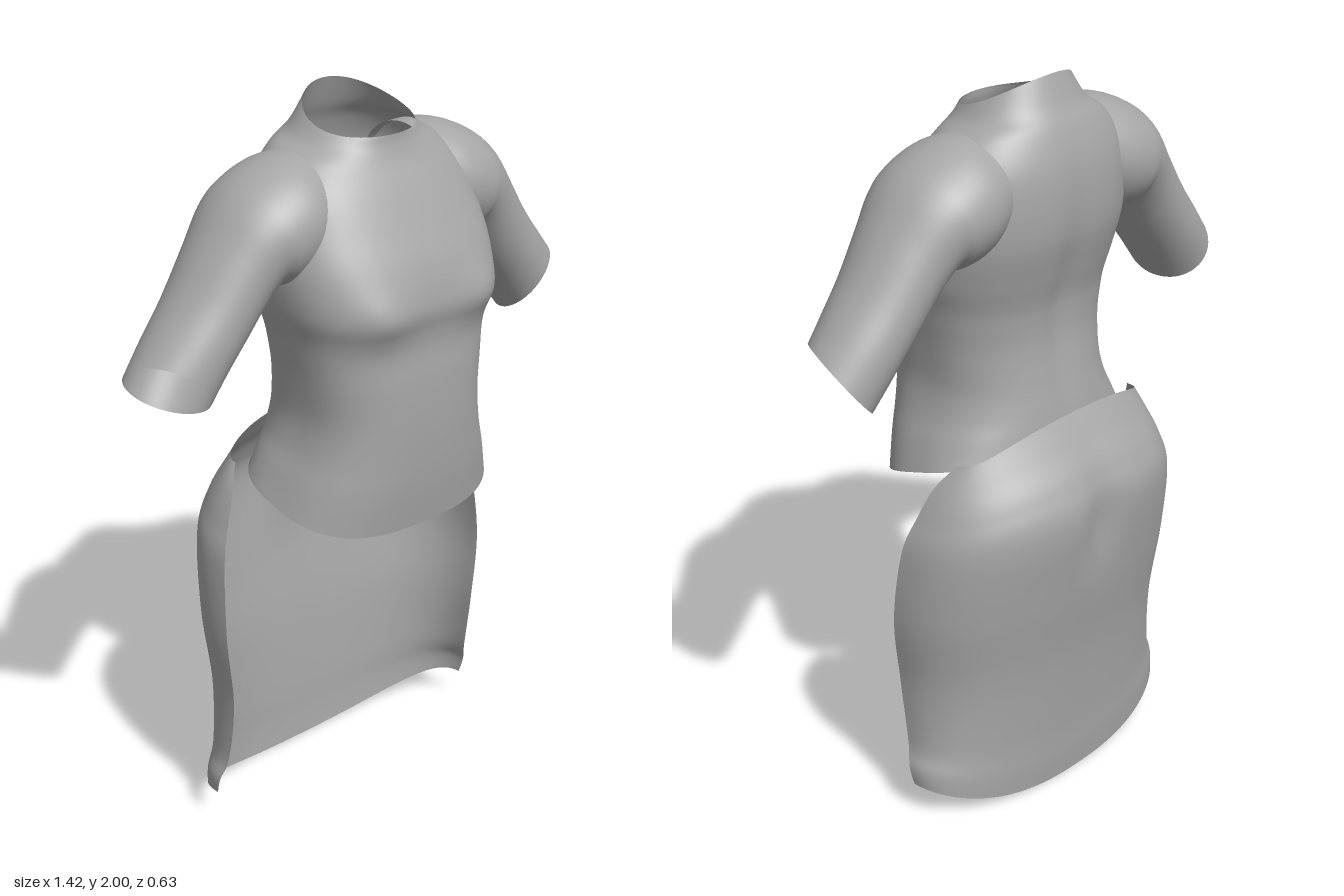
import * as THREE from 'three';

const cloth = new THREE.MeshStandardMaterial({ color: 0xa6a6a6, side: THREE.DoubleSide });
cloth.name = 'grey cloth';

// Smooth interpolation through key rows; t runs 0..1
function sample(rows, t) {
  const f = t * (rows.length - 1);
  const i = Math.min(Math.floor(f), rows.length - 2);
  const k = f - i;
  const at = (j) => rows[Math.max(0, Math.min(rows.length - 1, j))];
  return rows[i].map((_, c) => {
    const a = at(i - 1)[c], b = at(i)[c], d = at(i + 1)[c], e = at(i + 2)[c];
    return b + 0.5 * k * (d - a + k * (2 * a - 5 * b + 4 * d - e + k * (3 * (b - d) + e - a)));
  });
}

// Open shell of nu x nv cells; a closed one joins its last column to the first
function shell(name, nu, nv, closed, point) {
  const pos = [], index = [];
  const cols = closed ? nv : nv + 1;
  for (let i = 0; i <= nu; i++)
    for (let j = 0; j < cols; j++) pos.push(...point(i / nu, j / nv));
  for (let i = 0; i < nu; i++)
    for (let j = 0; j < nv; j++) {
      const a = i * cols + j, b = i * cols + ((j + 1) % cols);
      index.push(a, b, a + cols, b, b + cols, a + cols);
    }
  const g = new THREE.BufferGeometry();
  g.setAttribute('position', new THREE.Float32BufferAttribute(pos, 3));
  g.setIndex(index);
  g.computeVertexNormals();
  const mesh = new THREE.Mesh(g, cloth);
  mesh.name = name;
  return mesh;
}

const bell = (v, centre, width) => Math.exp(-(((v - centre) / width) ** 2));
const power = (v, p) => Math.sign(v) * Math.abs(v) ** p;

// Bodice rings: front y, side y, back y, half width, front z, back z
const bodiceRows = [
  [0.89, 0.975, 1.03, 0.345, 0.27, -0.19],
  [1.0, 1.05, 1.08, 0.315, 0.284, -0.185],
  [1.1, 1.12, 1.13, 0.286, 0.291, -0.178],
  [1.2, 1.2, 1.2, 0.271, 0.294, -0.166],
  [1.3, 1.3, 1.3, 0.278, 0.292, -0.153],
  [1.38, 1.38, 1.38, 0.29, 0.287, -0.155],
  [1.43, 1.43, 1.43, 0.3, 0.291, -0.163],
  [1.5, 1.5, 1.5, 0.32, 0.303, -0.182],
  [1.6, 1.6, 1.6, 0.33, 0.282, -0.207],
  [1.7, 1.7, 1.7, 0.32, 0.235, -0.212],
  [1.78, 1.79, 1.79, 0.295, 0.193, -0.203],
  [1.84, 1.86, 1.87, 0.24, 0.158, -0.178],
  [1.88, 1.892, 1.925, 0.185, 0.143, -0.15],
  [1.905, 1.93, 2.0, 0.152, 0.14, -0.12],
];

function bodicePoint(u, v) {
  const [yf, ys, yb, w, zf, zb] = sample(bodiceRows, u);
  const a = v * Math.PI * 2, s = Math.sin(a), c = Math.cos(a);
  // Boxier below, rounding to an ellipse at the neck
  const n = 2 + (c > 0 ? 0.75 : 0.4) * (1 - u ** 4);
  const x = w * power(s, 2 / n), d = power(c, 2 / n);
  const y = ys + (d * (yf - yb)) / 2 + d * d * ((yf + yb) / 2 - ys);
  let z = (zf + zb) / 2 + (d * (zf - zb)) / 2;
  if (c > 0) z += 0.022 * bell(Math.abs(x), 0.18, 0.09) * bell(y, 1.49, 0.075); // bust
  else z += 0.017 * bell(x, 0, 0.045) * bell(y, 1.42, 0.3) * -c; // spine hollow
  return [x, y, z];
}

// Sleeve sections: top x, top y, bottom x, bottom y, front z, back z, cuff slant
const sleeveRows = [
  [0.17, 1.875, 0.17, 1.6, 0.13, -0.16, 0],
  [0.27, 1.872, 0.25, 1.56, 0.165, -0.185, 0],
  [0.36, 1.84, 0.31, 1.55, 0.166, -0.182, 0],
  [0.43, 1.79, 0.335, 1.555, 0.152, -0.166, 0],
  [0.5, 1.7, 0.375, 1.51, 0.136, -0.145, 0.005],
  [0.58, 1.585, 0.43, 1.44, 0.126, -0.132, 0.012],
  [0.65, 1.5, 0.5, 1.355, 0.12, -0.122, 0.02],
  [0.705, 1.435, 0.562, 1.275, 0.115, -0.108, 0.03],
];

const sleevePoint = (side) => (u, v) => {
  const [tx, ty, bx, by, zf, zb, slant] = sample(sleeveRows, u);
  const a = v * Math.PI * 2, s = Math.sin(a), c = Math.cos(a);
  return [
    side * ((tx + bx) / 2 + (c * (tx - bx)) / 2 - s * slant),
    (ty + by) / 2 + (c * (ty - by)) / 2 + s * slant,
    (zf + zb) / 2 + (s * (zf - zb)) / 2,
  ];
};

// Skirt panel rows: edge y, centre y, half width, edge z, back z
const skirtRows = [
  [1.04, 1.105, 0.34, -0.1, -0.197],
  [0.98, 1.04, 0.385, -0.06, -0.243],
  [0.9, 0.96, 0.425, -0.035, -0.297],
  [0.8, 0.86, 0.46, -0.01, -0.325],
  [0.6, 0.65, 0.475, 0.01, -0.3],
  [0.4, 0.42, 0.458, 0.01, -0.264],
  [0.22, 0.2, 0.46, -0.015, -0.243],
  [0.15, 0.08, 0.477, -0.035, -0.236],
  [0.1, 0.005, 0.475, -0.05, -0.23],
];

function skirtPoint(u, v) {
  const [ye, yb, w, ze, zb] = sample(skirtRows, u);
  const a = (v - 0.5) * Math.PI, n = 2.4;
  const x = w * power(Math.sin(a), 2 / n);
  const d = Math.max(0, Math.cos(a)) ** (2 / n);
  const y = yb + (ye - yb) * Math.abs(x / w) ** 2.4;
  // Seat hollow along the centre
  const z = ze + (zb - ze) * d + 0.027 * bell(x, 0, 0.065) * bell(y, 0.84, 0.13);
  return [x, y, z];
}

export function createModel() {
  const model = new THREE.Group();
  model.name = 'dress';
  model.add(
    shell('bodice', 78, 96, true, bodicePoint),
    shell('leftSleeve', 42, 48, true, sleevePoint(1)),
    shell('rightSleeve', 42, 48, true, sleevePoint(-1)),
    shell('skirtBackPanel', 64, 72, false, skirtPoint),
  );
  return model;
}
